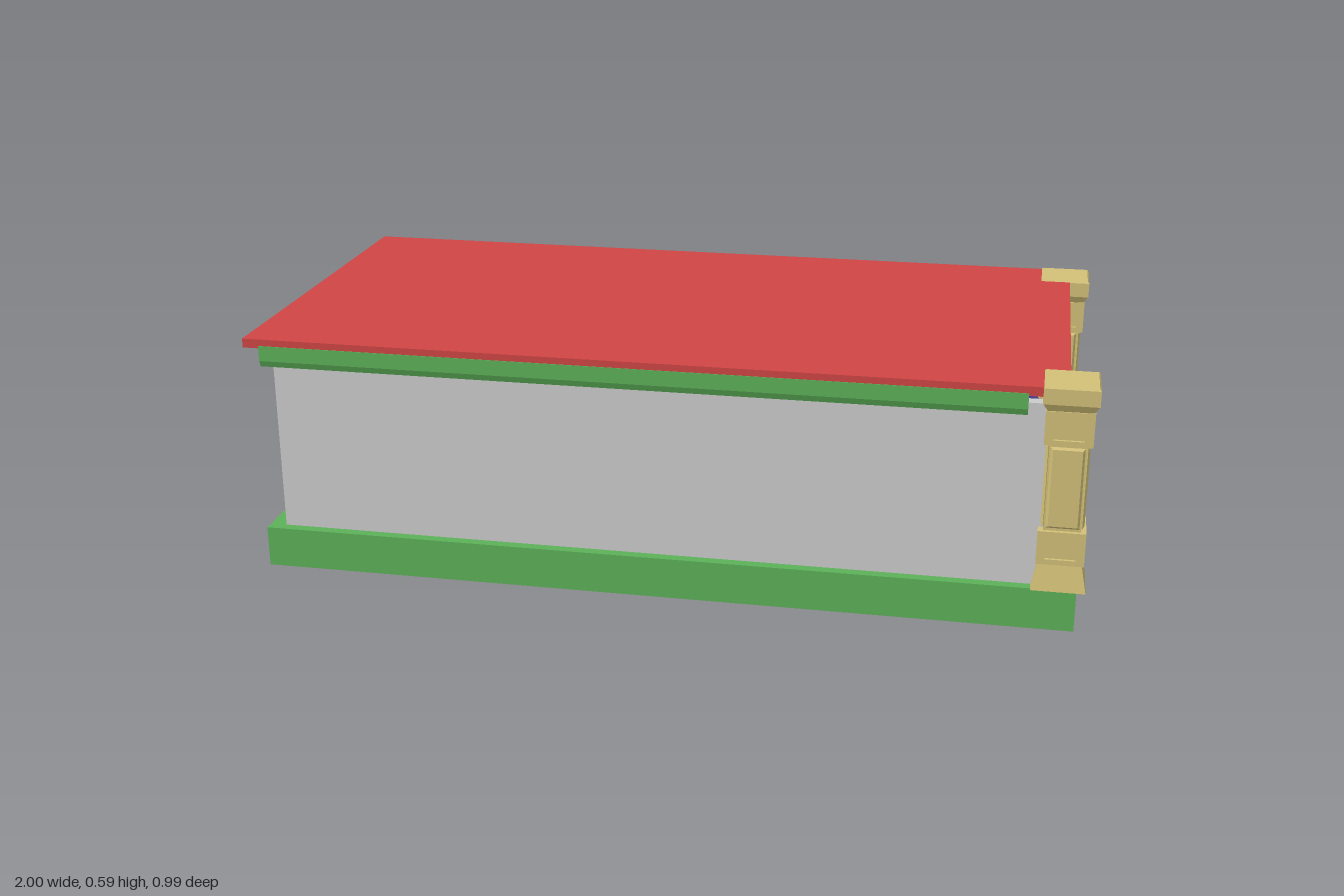
import * as THREE from 'three';

const mat = (color) => new THREE.MeshStandardMaterial({ color, flatShading: true });
const GREEN = mat(0x5cb058), RED = mat(0xd04545), TAN = mat(0xd2c078);
const GREY = mat(0xcccccc), PURPLE = mat(0x5044a8);

function add(parent, name, geometry, material, x = 0, y = 0, z = 0) {
  const mesh = new THREE.Mesh(geometry, material);
  mesh.name = name;
  mesh.position.set(x, y, z);
  parent.add(mesh);
  return mesh;
}

const shapeOf = (points) => new THREE.Shape(points.map(([a, b]) => new THREE.Vector2(a, b)));

// Box from its limits on each axis
function slab(parent, name, material, [x0, x1], [y0, y1], [z0, z1]) {
  return add(parent, name, new THREE.BoxGeometry(x1 - x0, y1 - y0, z1 - z0), material,
    (x0 + x1) / 2, (y0 + y1) / 2, (z0 + z1) / 2);
}

// Cross-section given as [z, y] points, swept along x
function sweepX(points, x0, x1) {
  const shape = shapeOf(points.map(([z, y]) => [-z, y]));
  return new THREE.ExtrudeGeometry(shape, { depth: x1 - x0, bevelEnabled: false })
    .rotateY(Math.PI / 2).translate(x0, 0, 0);
}

// Square tapered block with half widths at bottom and top
function frustum(bottom, top, y0, y1) {
  return new THREE.CylinderGeometry(top * Math.SQRT2, bottom * Math.SQRT2, y1 - y0, 4)
    .rotateY(Math.PI / 4).translate(0, (y0 + y1) / 2, 0);
}

const rectPath = (w, y0, y1) => [[-w, y0], [w, y0], [w, y1], [-w, y1]];

// Raised rectangular frame, to be placed on a column face
function frame(outer, inner, y0, y1, border, depth) {
  const shape = shapeOf(rectPath(outer, y0, y1));
  shape.holes.push(shapeOf(rectPath(inner, y0 + border, y1 - border)));
  return new THREE.ExtrudeGeometry(shape, { depth, bevelEnabled: false });
}

function column(x, z) {
  const g = new THREE.Group();
  g.name = 'cornerColumn';
  g.position.set(x, 0, z);
  const put = (name, ...size) => add(g, name, frustum(...size), TAN);
  put('flaredFoot', 0.062, 0.049, 0.1, 0.165);
  put('lowerBlockCore', 0.047, 0.047, 0.165, 0.243);
  put('shaft', 0.042, 0.042, 0.243, 0.452);
  put('upperBlockCore', 0.047, 0.047, 0.452, 0.53);
  put('capFlare', 0.05, 0.061, 0.53, 0.55);
  put('cap', 0.062, 0.062, 0.55, 0.587);
  put('capTop', 0.062, 0.058, 0.587, 0.592);
  // Framed recesses on the blocks and a raised panel on the shaft
  for (let i = 0; i < 4; i++) {
    const face = new THREE.Group();
    face.name = 'columnFace';
    face.rotation.y = i * Math.PI / 2;
    g.add(face);
    for (const y of [0.163, 0.451]) {
      add(face, 'blockFrame', frame(0.054, 0.035, y, y + 0.081, 0.013, 0.008), TAN, 0, 0, 0.046);
    }
    const panel = new THREE.ExtrudeGeometry(shapeOf(rectPath(0.033, 0.255, 0.44)),
      { depth: 0.001, bevelThickness: 0.005, bevelSize: 0.005, bevelSegments: 1 });
    add(face, 'shaftPanel', panel, TAN, 0, 0, 0.043);
  }
  return g;
}

// Plate pierced by rows of flat-topped hexagons
function honeycomb(x0, x1, y0, y1, radius, gap) {
  const plate = shapeOf([[x0, y0], [x1, y0], [x1, y1], [x0, y1]]);
  const pitch = radius * Math.sqrt(3) + gap, step = pitch * Math.sqrt(3) / 2;
  const clampX = (v) => Math.min(x1 - 0.006, Math.max(x0 + 0.006, v));
  const clampY = (v) => Math.min(y1 - 0.006, Math.max(y0 + 0.006, v));
  let col = 0;
  for (let cx = x0 + radius + 0.008; cx < x1 - radius; cx += step, col++) {
    for (let cy = y0 + (col % 2 ? 0 : pitch / 2); cy < y1 + pitch / 4; cy += pitch) {
      const pts = [];
      for (let k = 0; k < 6; k++) {
        const a = k * Math.PI / 3;
        const p = [clampX(cx + radius * Math.cos(a)), clampY(cy + radius * Math.sin(a))];
        // Skip corners that collapse together at the plate edge
        if (!pts.some((q) => Math.hypot(q[0] - p[0], q[1] - p[1]) < 1e-4)) pts.push(p);
      }
      const ys = pts.map((p) => p[1]);
      if (Math.max(...ys) - Math.min(...ys) < 0.015) continue;
      // Drop leftover corners lying on the clipped edge
      const flat = pts.filter((p, i) => {
        const a = pts[(i + pts.length - 1) % pts.length], b = pts[(i + 1) % pts.length];
        return Math.abs((p[0] - a[0]) * (b[1] - p[1]) - (p[1] - a[1]) * (b[0] - p[0])) > 1e-9;
      });
      plate.holes.push(shapeOf(flat));
    }
  }
  return new THREE.ExtrudeGeometry(plate, { depth: 0.008, bevelEnabled: false });
}

export function createModel() {
  const model = new THREE.Group();
  model.name = 'coveredPassage';

  // Trough-shaped base
  add(model, 'base', sweepX([
    [0.485, 0], [0.485, 0.1], [0.372, 0.1], [0.318, 0.05],
    [-0.306, 0.05], [-0.36, 0.1], [-0.472, 0.1], [-0.472, 0],
  ], -0.98, 0.975), GREEN);

  for (const s of [1, -1]) {
    const off = s > 0 ? 0 : 0.012;
    const at = (z) => s * z + off;

    // Stepped strip lying on the sloping kerb
    const strip = [[0.374, 0.1], [0.366, 0.1], [0.332, 0.077], [0.323, 0.064],
      [0.326, 0.056], [0.334, 0.06]].map(([z, y]) => [at(z), y]);
    add(model, 'kerbStrip', sweepX(strip, -0.92, 0.958), GREEN);

    // Side wall with coloured backing and honeycomb lattice inside
    const zs = (a, b) => [at(a), at(b)].sort((p, q) => p - q);
    slab(model, 'sideWall', GREY, [-0.94, 0.9], [0.098, 0.54], zs(0.43, 0.46));
    slab(model, 'wallBacking', PURPLE, [-0.935, 0.895], [0.1, 0.53], zs(0.427, 0.432));
    const lattice = add(model, 'honeycombLattice',
      honeycomb(-0.94, 0.9, 0.1, 0.53, 0.058, 0.016), GREY, 0, 0, at(0.423));
    lattice.position.z -= 0.004;

    // Cornice under the roof edge
    add(model, 'cornice', sweepX([
      [0.492, 0.572], [0.492, 0.535], [0.486, 0.52], [0.455, 0.515],
      [0.415, 0.52], [0.395, 0.545], [0.395, 0.572],
    ].map(([z, y]) => [s * z, y]), -0.96, 0.84), GREEN);
  }

  // Roof with a T-shaped ceiling beam
  slab(model, 'roof', RED, [-1, 0.93], [0.566, 0.588], [-0.49, 0.49]);
  slab(model, 'beamNeck', RED, [-1, 0.93], [0.548, 0.568], [-0.09, 0.09]);
  slab(model, 'beamFlange', RED, [-1, 0.93], [0.535, 0.55], [-0.12, 0.12]);

  // Columns at the open end
  model.add(column(0.933, 0.432), column(0.918, -0.43));
  return model;
}
